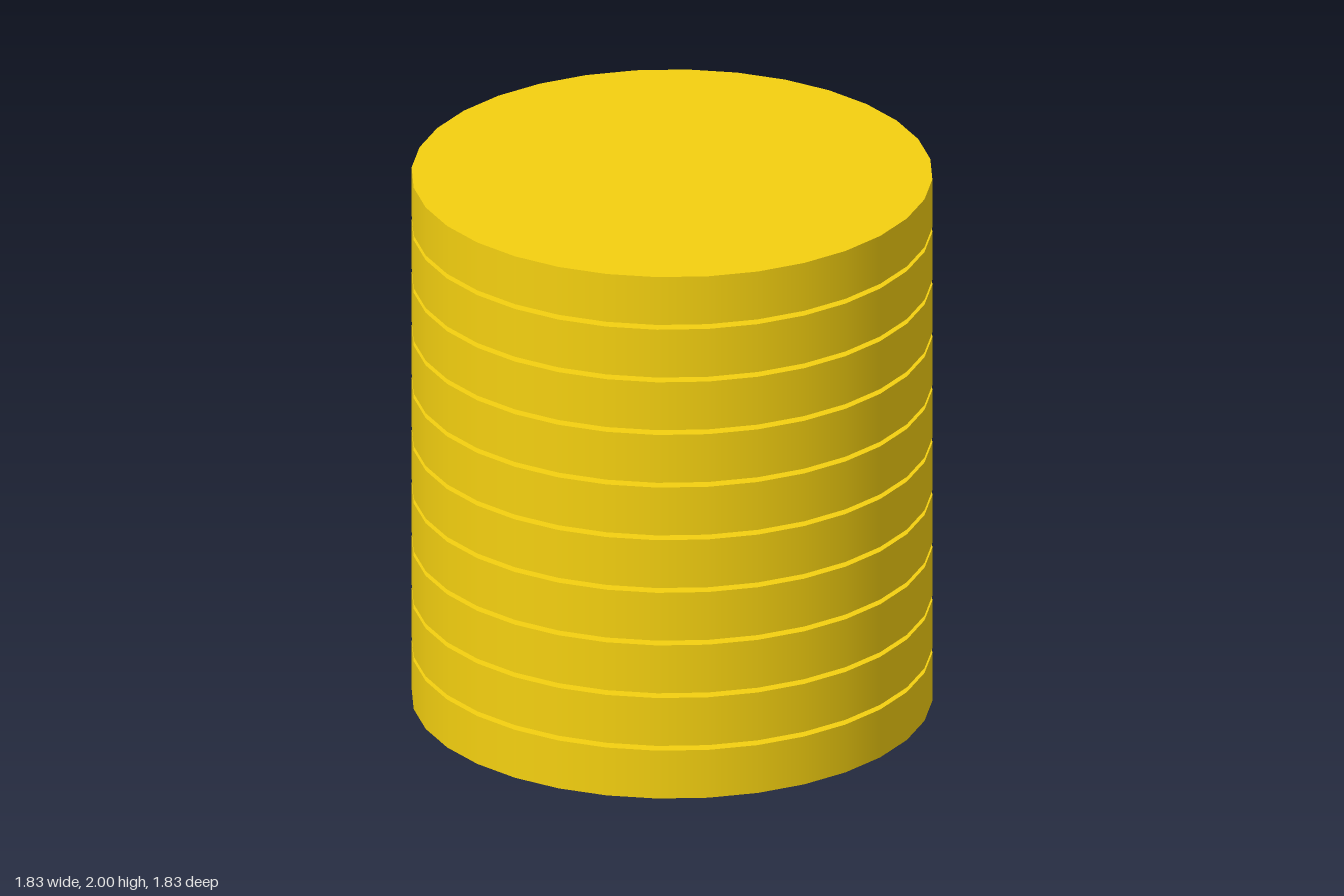
import * as THREE from 'three';

export function createModel() {
  const group = new THREE.Group();
  group.name = 'discStack';

  const count = 10;
  const pitchRatio = 1.1; // each disc is followed by a gap of a tenth of its height
  const height = 2 / ((count - 1) * pitchRatio + 1);
  const radius = height * 5;

  const material = new THREE.MeshStandardMaterial({ color: 0xf4d010 });
  const geometry = new THREE.CylinderGeometry(radius, radius, height, 32);

  // Identical discs floating one above another
  for (let i = 0; i < count; i++) {
    const disc = new THREE.Mesh(geometry, material);
    disc.name = `disc${i + 1}`;
    disc.position.y = height / 2 + i * height * pitchRatio;
    group.add(disc);
  }
  return group;
}
